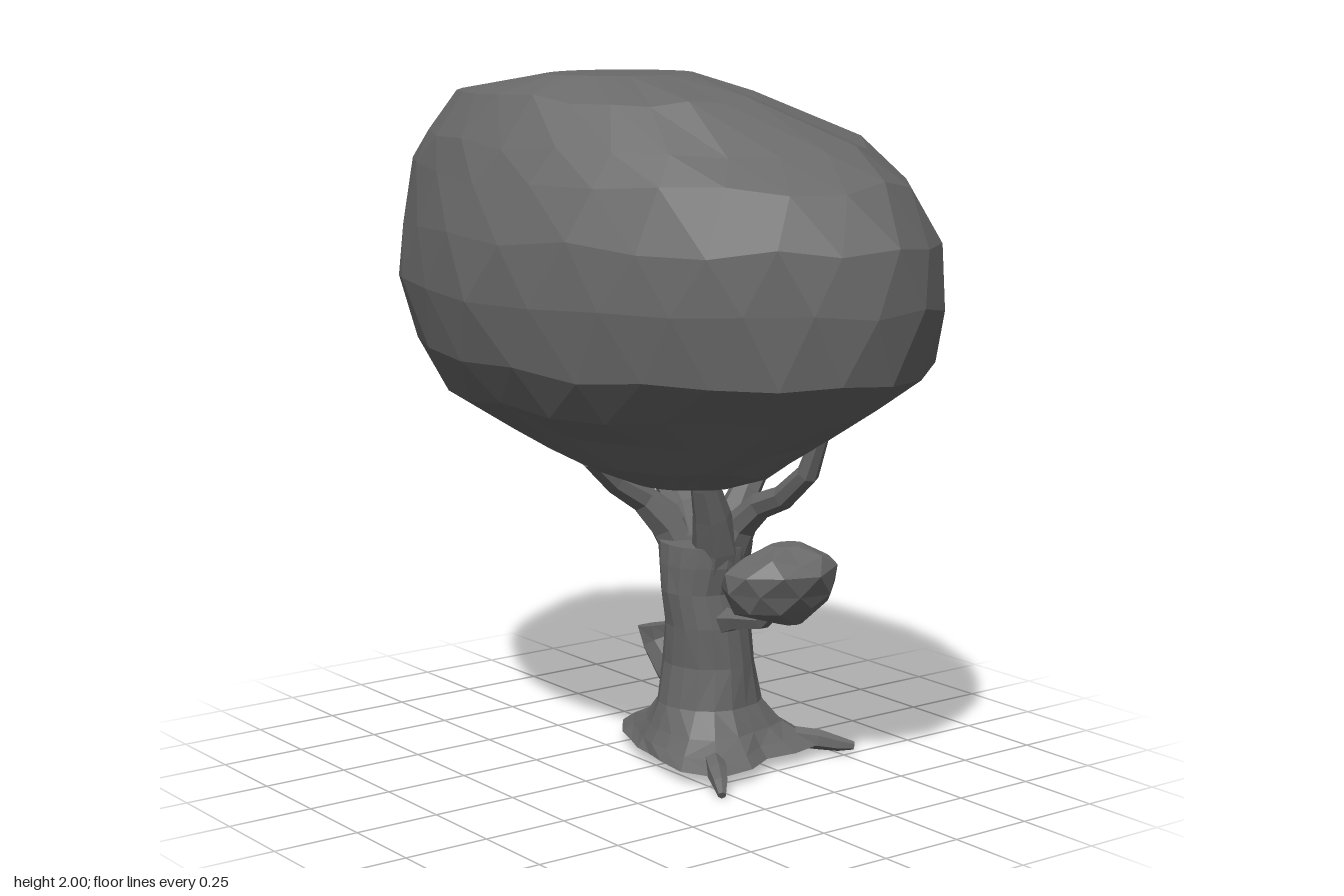
import * as THREE from 'three';

const grey = new THREE.MeshStandardMaterial({ color: 0x6a6a6a, flatShading: true, side: THREE.DoubleSide });
grey.name = 'grey';

// Small seeded generator for irregular facets
let seed = 7;
const jitter = (a) => {
  seed = (seed * 16807) % 2147483647;
  return (seed / 2147483647 - 0.5) * 2 * a;
};

// Skin over rings of points, each ring counter-clockwise about the direction of travel
function loft(name, rings, closedStart = true) {
  const pos = [];
  const tri = (...pts) => pts.forEach((p) => pos.push(p.x, p.y, p.z));
  const n = rings[0].length;
  const middle = (r) => r.reduce((s, p) => s.add(p), new THREE.Vector3()).divideScalar(n);
  const first = rings[0], last = rings[rings.length - 1];
  const start = middle(first), end = middle(last);
  for (let j = 0; j < n; j++) {
    const k = (j + 1) % n;
    for (let i = 0; i < rings.length - 1; i++) {
      const a = rings[i][j], b = rings[i][k], c = rings[i + 1][k], d = rings[i + 1][j];
      if (i % 2) { tri(a, b, c); tri(a, c, d); } else { tri(a, b, d); tri(b, c, d); }
    }
    if (closedStart) tri(start, first[k], first[j]);
    tri(end, last[j], last[k]);
  }
  const geo = new THREE.BufferGeometry();
  geo.setAttribute('position', new THREE.Float32BufferAttribute(pos, 3));
  geo.computeVertexNormals();
  const mesh = new THREE.Mesh(geo, grey);
  mesh.name = name;
  return mesh;
}

// Foliage from level bounds: [y, xMin, xMax, zMin, zMax], every other level turned half a step.
// bulge(y) gives how far each diagonal swells: [+x+z, +x-z, -x-z, -x+z]
function foliage(name, levels, sides, rough, bulge = () => [0, 0, 0, 0]) {
  return loft(name, levels.map(([y, x0, x1, z0, z1], i) => {
    const inner = i > 0 && i < levels.length - 1;
    const corners = bulge(y);
    return Array.from({ length: sides }, (_, j) => {
      const turn = (j + (i % 2) * 0.5) / sides, a = turn * Math.PI * 2;
      const s = 1.012 + jitter(rough) + corners[Math.floor(turn * 4) % 4] * Math.abs(Math.sin(2 * a));
      return new THREE.Vector3(
        (x0 + x1) / 2 + Math.sin(a) * s * (x1 - x0) / 2,
        y + (inner ? jitter(rough * 1.5) : 0),
        (z0 + z1) / 2 + Math.cos(a) * s * (z1 - z0) / 2);
    });
  }));
}

// Lopsided crown: blends from low to middle to high diagonals
function crownBulge(y) {
  const low = [-0.07, 0, 0.07, 0.02], mid = [-0.08, 0.03, 0, -0.025], high = [-0.06, 0.03, -0.05, -0.02];
  const t = THREE.MathUtils.clamp((y - 1.05) / 0.35, 0, 2);
  return mid.map((m, q) => (t < 1 ? THREE.MathUtils.lerp(low[q], m, t) : THREE.MathUtils.lerp(m, high[q], t - 1)));
}

// Tapering limb through points [x, y, z, radius]
function limb(name, stops, sides = 6) {
  const pts = stops.map((s) => new THREE.Vector3(s[0], s[1], s[2]));
  const side = new THREE.Vector3(1, 0, 0);
  return loft(name, pts.map((p, i) => {
    const t = pts[Math.min(i + 1, pts.length - 1)].clone().sub(pts[Math.max(i - 1, 0)]).normalize();
    // Carry the side direction along so the limb does not twist
    if (i === 0 && Math.abs(t.x) > 0.7) side.set(0, 0, 1);
    const b = side.addScaledVector(t, -side.dot(t)).normalize().clone();
    const n = new THREE.Vector3().crossVectors(t, b).negate();
    return Array.from({ length: sides }, (_, j) => {
      const a = (j / sides) * Math.PI * 2, r = stops[i][3];
      return p.clone().addScaledVector(n, Math.cos(a) * r).addScaledVector(b, Math.sin(a) * r);
    });
  }));
}

export function createModel() {
  const tree = new THREE.Group();
  tree.name = 'tree';

  // Crown of leaves
  tree.add(foliage('canopy', [
    [0.86, -0.02, 0.22, -0.02, 0.12],
    [0.89, -0.22, 0.36, -0.09, 0.19],
    [0.94, -0.40, 0.50, -0.17, 0.27],
    [1.01, -0.55, 0.59, -0.34, 0.37],
    [1.11, -0.75, 0.72, -0.53, 0.51],
    [1.23, -0.85, 0.90, -0.60, 0.59],
    [1.41, -0.94, 0.93, -0.63, 0.63],
    [1.58, -0.90, 0.92, -0.60, 0.62],
    [1.73, -0.87, 0.81, -0.56, 0.58],
    [1.82, -0.78, 0.68, -0.49, 0.55],
    [1.94, -0.60, 0.45, -0.22, 0.47],
    [2.00, -0.18, 0.18, -0.08, 0.34],
  ], 24, 0.01, crownBulge));

  // Little bush on the side twig
  tree.add(foliage('smallBush', [
    [0.50, 0.40, 0.47, -0.17, -0.10],
    [0.54, 0.31, 0.51, -0.27, 0.02],
    [0.59, 0.27, 0.53, -0.30, 0.05],
    [0.65, 0.28, 0.55, -0.29, 0.05],
    [0.69, 0.34, 0.52, -0.25, 0.00],
    [0.72, 0.39, 0.46, -0.18, -0.08],
  ], 9, 0.01));

  // Trunk levels: [y, centre x, centre z, radius x, radius z, root spread], open underneath
  const rootTips = [[-0.36, 0.03, -0.18], [0.36, 0.03, 0.04], [0.26, 0.045, -0.53]];
  const rootAngles = rootTips.map(([x, , z]) => Math.atan2(x, z + 0.17));
  const trunk = [
    [0.04, -0.01, -0.18, 0.20, 0.20, 0.15],
    [0.07, -0.01, -0.18, 0.185, 0.185, 0.11],
    [0.11, 0.00, -0.18, 0.165, 0.17, 0.055],
    [0.18, 0.01, -0.18, 0.145, 0.15, 0.01],
    [0.30, 0.015, -0.175, 0.14, 0.13, 0],
    [0.42, 0.035, -0.16, 0.12, 0.125, 0],
    [0.52, 0.03, -0.145, 0.11, 0.125, 0],
    [0.60, 0.03, -0.15, 0.135, 0.13, 0],
    [0.66, 0.03, -0.155, 0.145, 0.132, 0],
  ];
  tree.add(loft('trunk', trunk.map(([y, cx, cz, rx, rz, spread]) =>
    Array.from({ length: 18 }, (_, j) => {
      const a = (j / 18) * Math.PI * 2;
      const flare = rootAngles.reduce((s, r) => s + spread * Math.max(0, Math.cos(a - r)) ** 6, 0);
      const k = 1 + jitter(0.02);
      return new THREE.Vector3(
        cx + Math.sin(a) * (rx * k + flare), y, cz + Math.cos(a) * (rz * k + flare));
    })), false));

  // Root tips reaching out along the ground: [distance, height, radius]
  const rootStops = [[0.6, 0.06, 0.03], [0.76, 0.05, 0.03], [0.9, 0.036, 0.022], [1, 0, 0.012]];
  rootTips.forEach(([x, y, z], i) => {
    tree.add(limb(`root${i + 1}`, rootStops.map(([f, h, r]) =>
      [x * f, f === 1 ? y - 0.015 : h, -0.17 + (z + 0.17) * f, r])));
  });

  // Branches holding the crown
  const branches = {
    rightBranch: [[0.0, 0.56, -0.16, 0.07], [-0.04, 0.65, -0.16, 0.08], [-0.08, 0.74, -0.16, 0.068], [-0.14, 0.81, -0.16, 0.055], [-0.24, 0.90, -0.16, 0.04], [-0.32, 1.02, -0.14, 0.03]],
    frontBranch: [[-0.03, 0.60, -0.13, 0.06], [-0.06, 0.70, -0.09, 0.06], [-0.08, 0.78, -0.01, 0.042], [-0.08, 0.84, 0.09, 0.034], [-0.07, 0.92, 0.18, 0.03]],
    leftBranch: [[0.08, 0.56, -0.14, 0.07], [0.11, 0.66, -0.13, 0.07], [0.14, 0.76, -0.09, 0.055], [0.16, 0.85, -0.05, 0.042], [0.18, 0.96, -0.02, 0.035]],
    outerBranch: [[0.09, 0.60, -0.17, 0.06], [0.15, 0.72, -0.19, 0.048], [0.23, 0.79, -0.20, 0.04], [0.33, 0.83, -0.20, 0.036], [0.43, 0.91, -0.20, 0.032], [0.48, 1.02, -0.20, 0.025]],
    backBranch: [[0.06, 0.58, -0.18, 0.07], [0.07, 0.70, -0.22, 0.06], [0.07, 0.80, -0.27, 0.045], [0.06, 0.88, -0.33, 0.04], [0.05, 0.95, -0.385, 0.036], [0.05, 1.03, -0.40, 0.028]],
  };
  for (const [name, stops] of Object.entries(branches)) tree.add(limb(name, stops, 7));

  // Twig under the bush with a short fork
  tree.add(limb('twig', [[0.09, 0.43, -0.15, 0.05], [0.19, 0.455, -0.14, 0.03], [0.31, 0.475, -0.14, 0.023], [0.40, 0.54, -0.13, 0.018]], 5));
  tree.add(limb('twigFork', [[0.30, 0.475, -0.14, 0.018], [0.36, 0.50, -0.18, 0.014], [0.40, 0.56, -0.20, 0.01]], 5));

  // Broken stub on the other side
  tree.add(limb('brokenStub', [[-0.06, 0.19, -0.16, 0.06], [-0.11, 0.26, -0.14, 0.058], [-0.165, 0.32, -0.13, 0.05], [-0.175, 0.37, -0.13, 0.06]], 7));

  return tree;
}
